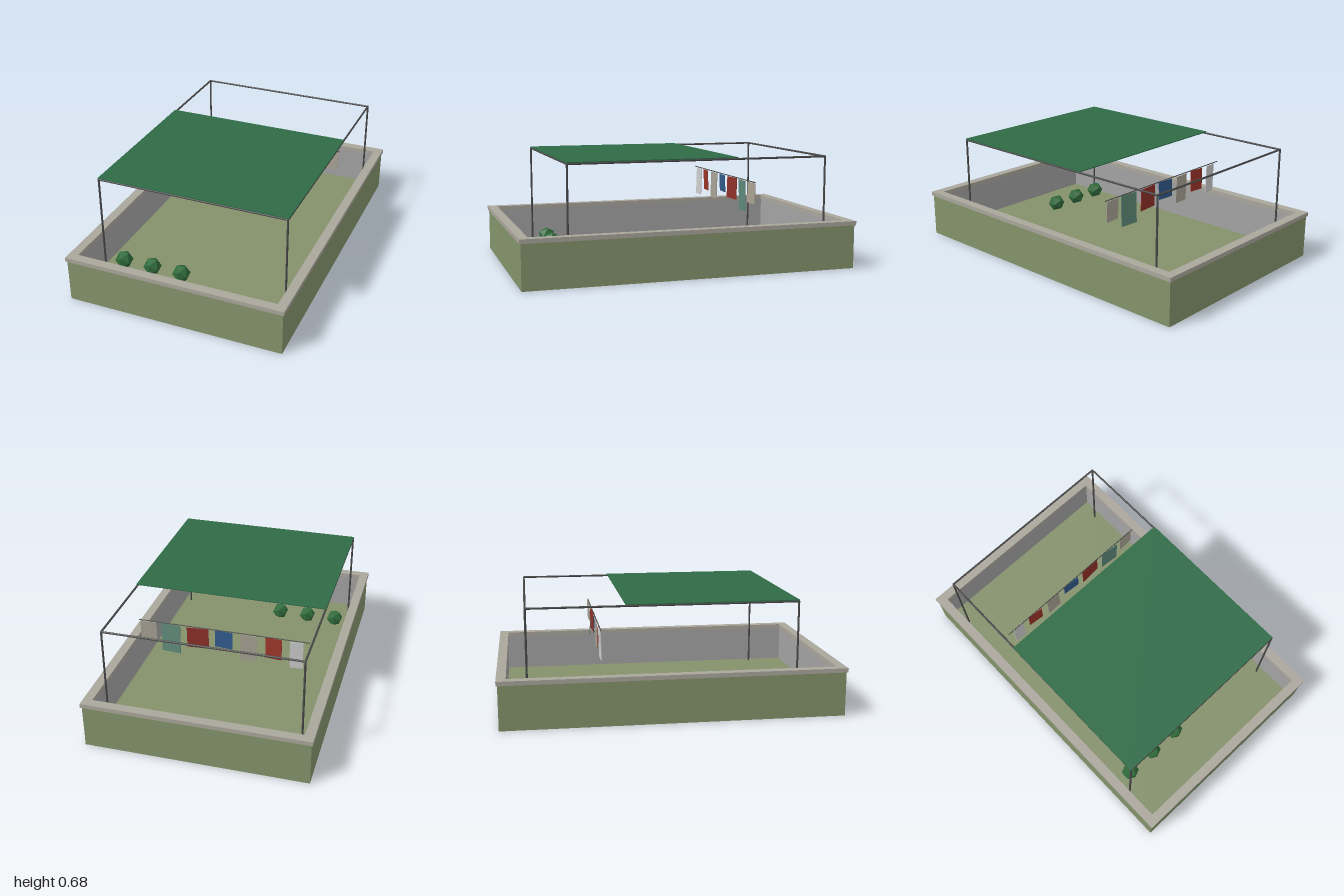
import * as THREE from 'three';

const mat = (color, extra = {}) => new THREE.MeshStandardMaterial({ color, ...extra });

export function createModel() {
  const model = new THREE.Group();
  const add = (name, geometry, material, x = 0, y = 0, z = 0, parent = model) => {
    const mesh = new THREE.Mesh(geometry, material);
    mesh.name = name;
    mesh.position.set(x, y, z);
    parent.add(mesh);
    return mesh;
  };

  // Rectangular ring with half sizes (outer, inner), standing on y = 0
  const rect = (Type, hx, hz) => {
    const s = new Type();
    s.moveTo(-hx, -hz).lineTo(hx, -hz).lineTo(hx, hz).lineTo(-hx, hz).closePath();
    return s;
  };
  const ring = (ox, oz, ix, iz, height) => {
    const s = rect(THREE.Shape, ox, oz);
    s.holes.push(rect(THREE.Path, ix, iz));
    return new THREE.ExtrudeGeometry(s, { depth: height, bevelEnabled: false }).rotateX(-Math.PI / 2);
  };

  const floorY = 0.04;
  const stone = mat(0xaaa69c);

  // Parapet walls, inner lining, coping and floor
  add('outerWall', ring(0.652, 0.992, 0.62, 0.96, 0.26), mat(0x84936b));
  add('innerWall', ring(0.62, 0.96, 0.61, 0.95, 0.26), mat(0xa3a3a3));
  add('coping', ring(0.66, 1, 0.605, 0.945, 0.025), stone, 0, 0.26, 0);
  add('baseSlab', new THREE.BoxGeometry(1.3, 0.02, 1.98), mat(0x8a857c), 0, 0.0105, 0);
  add('floor', new THREE.BoxGeometry(1.23, 0.02, 1.91), mat(0x84906b), 0, floorY - 0.01, 0);

  // Pergola: four posts, four rails and rounded corner joints
  const metal = mat(0x4a4a4a);
  const r = 0.006, topY = 0.667, px = 0.57, front = 0.72, back = -0.83;
  const pergola = new THREE.Group();
  pergola.name = 'pergola';
  model.add(pergola);
  const bar = (name, a, b, radius, parent) => {
    const from = new THREE.Vector3(...a), to = new THREE.Vector3(...b);
    const g = new THREE.CylinderGeometry(radius, radius, from.distanceTo(to), 8);
    const m = add(name, g, metal, 0, 0, 0, parent);
    m.position.copy(from).lerp(to, 0.5);
    m.quaternion.setFromUnitVectors(new THREE.Vector3(0, 1, 0), to.sub(from).normalize());
  };
  for (const x of [-px, px]) {
    for (const z of [front, back]) {
      bar('post', [x, floorY, z], [x, topY, z], r, pergola);
      add('cornerJoint', new THREE.SphereGeometry(r, 8, 6), metal, x, topY, z, pergola);
    }
    bar('sideRail', [x, topY, front], [x, topY, back], r, pergola);
  }
  for (const z of [front, back]) bar('crossRail', [-px, topY, z], [px, topY, z], r, pergola);

  // Shade cloth over the front part of the pergola
  add('canopy', new THREE.BoxGeometry(1.15, 0.005, 0.997), mat(0x2f6b47), 0, 0.675, 0.2235);

  // Clothes line with laundry: centre x, width, bottom y, colour, turn
  const lineZ = -0.41;
  const laundry = new THREE.Group();
  laundry.name = 'laundry';
  model.add(laundry);
  bar('clothesLine', [-0.515, 0.519, lineZ], [0.515, 0.519, lineZ], 0.003, laundry);
  const cloths = [
    [-0.439, 0.078, 0.337, 0xbcbcbc, 0.07],
    [-0.304, 0.098, 0.381, 0x9c3428, -0.09],
    [-0.156, 0.097, 0.345, 0xa8a294, 0.03],
    [-0.006, 0.108, 0.406, 0x30598a, -0.08],
    [0.153, 0.13, 0.381, 0x8f3028, 0.07],
    [0.319, 0.118, 0.328, 0x5f8a7a, -0.08],
    [0.457, 0.098, 0.39, 0xa8a294, 0.05],
  ];
  cloths.forEach(([x, width, bottom, color, turn], i) => {
    const height = 0.513 - bottom;
    const cloth = add('hangingCloth', new THREE.BoxGeometry(width, height, 0.004), mat(color),
      x, bottom + height / 2, lineZ, laundry);
    cloth.rotation.set(i % 2 ? 0.03 : -0.03, turn, 0);
  });

  // Row of faceted shrubs near the front
  const leaf = mat(0x2f6a3a, { flatShading: true });
  for (const x of [-0.49, -0.3, -0.11]) {
    add('shrub', new THREE.IcosahedronGeometry(0.055, 0), leaf, x, floorY + 0.055, 0.64);
  }

  return model;
}
